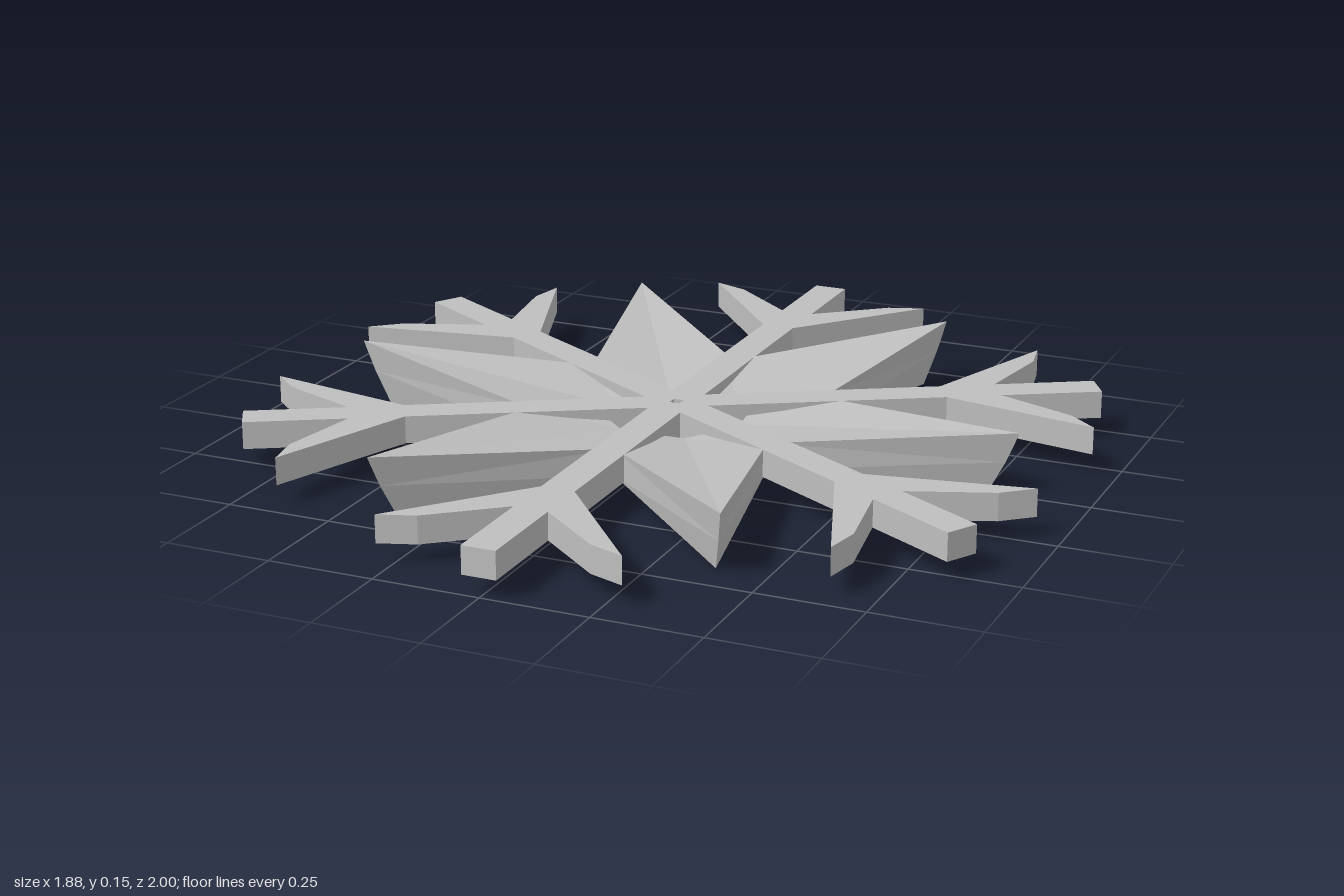
import * as THREE from 'three';

const grey = new THREE.MeshStandardMaterial({ color: 0xbebebe });
grey.name = 'silver grey';

// Six branched arms as one flat plate with a pinhole at the centre
function makeArms() {
  const half = [[0.04, 0.07], [0.04, 0.63], [0.285, 0.92], [0.2, 0.89], [0.04, 0.76], [0.04, 1]];
  const arm = [...half.slice(1), ...half.slice(1).reverse().map(([x, y]) => [-x, y]), [-0.04, 0.07]];
  const points = [];
  for (let i = 0; i < 6; i++) {
    const turn = i * Math.PI / 3;
    for (const [x, y] of arm) {
      points.push(new THREE.Vector2(x, y).rotateAround(new THREE.Vector2(), turn));
    }
  }
  const shape = new THREE.Shape(points);
  const h = 0.012;
  shape.holes.push(new THREE.Path([[-h, -h], [-h, h], [h, h], [h, -h]].map(p => new THREE.Vector2(...p))));
  const geometry = new THREE.ExtrudeGeometry(shape, { depth: 0.065, bevelEnabled: false });
  geometry.rotateX(-Math.PI / 2).translate(0, 0.045, 0);
  const mesh = new THREE.Mesh(geometry, grey);
  mesh.name = 'branchedArms';
  return mesh;
}

// One star point along +x: creased above and below, thickest at its undercut tip
function makeSpikeGeometry() {
  const positions = [];
  for (const s of [1, -1]) {
    const p = {
      tip: [0.83, 0.15, 0], mid: [0.8, 0.08, 0], low: [0.76, 0.006, 0], root: [0.16, 0.078, 0],
      sideTop: [0.298, 0.108, 0.172 * s], sideLow: [0.298, 0.047, 0.172 * s],
      innerTop: [0.155, 0.092, 0.09 * s], innerLow: [0.155, 0.064, 0.09 * s],
    };
    const faces = [
      ['tip', 'root', 'sideTop'], ['sideTop', 'root', 'innerTop'],
      ['low', 'sideLow', 'root'], ['sideLow', 'innerLow', 'root'],
      ['tip', 'sideTop', 'mid'], ['sideTop', 'sideLow', 'mid'], ['mid', 'sideLow', 'low'],
      ['innerTop', 'root', 'innerLow'],
    ];
    for (const face of faces) {
      const order = s > 0 ? face : [...face].reverse();
      for (const name of order) positions.push(...p[name]);
    }
  }
  const geometry = new THREE.BufferGeometry();
  geometry.setAttribute('position', new THREE.Float32BufferAttribute(positions, 3));
  geometry.computeVertexNormals();
  return geometry;
}

export function createModel() {
  const model = new THREE.Group();
  model.name = 'snowflake';
  model.add(makeArms());

  // Star points between the arms
  const star = new THREE.Group();
  star.name = 'star';
  const spike = makeSpikeGeometry();
  for (let i = 0; i < 6; i++) {
    const mesh = new THREE.Mesh(spike, grey);
    mesh.name = 'starPoint' + (i + 1);
    mesh.rotation.y = i * Math.PI / 3;
    star.add(mesh);
  }
  star.position.y = -0.006;
  star.scale.y = 1.04;
  model.add(star);
  return model;
}
